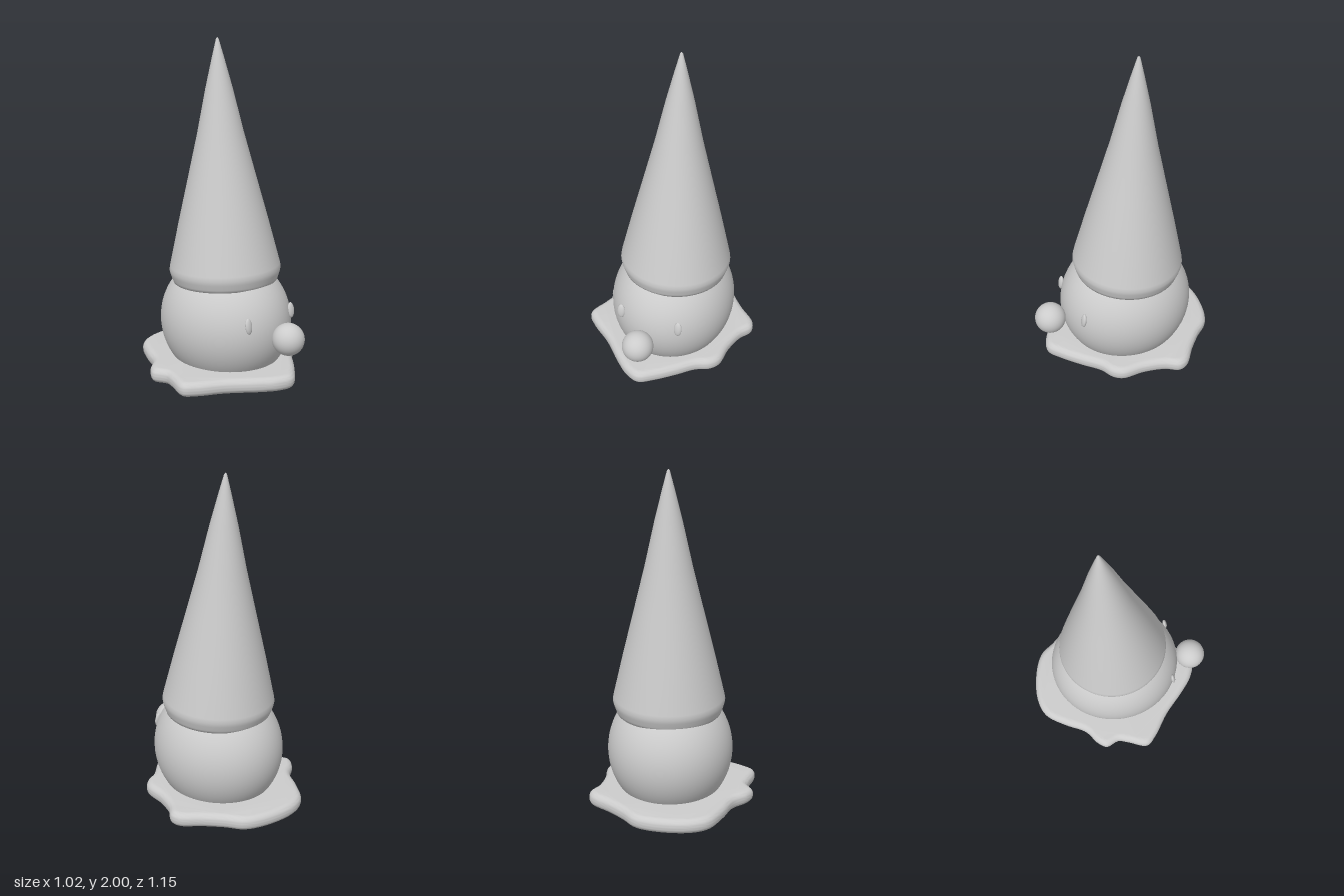
import * as THREE from 'three';
import { toCreasedNormals } from 'three/addons/utils/BufferGeometryUtils.js';

const material = new THREE.MeshStandardMaterial({ color: 0xcccccc });

function addPart(group, name, geometry, x = 0, y = 0, z = 0) {
  const mesh = new THREE.Mesh(geometry, material);
  mesh.name = name;
  mesh.position.set(x, y, z);
  group.add(mesh);
  return mesh;
}

// Wavy puddle outline as [x, z], running round the plan
const outline = [
  [-0.1, -0.57], [0.09, -0.56], [0.22, -0.51], [0.295, -0.42], [0.385, -0.33], [0.49, -0.24],
  [0.505, -0.18], [0.46, -0.1], [0.43, 0.03], [0.425, 0.165], [0.385, 0.225], [0.305, 0.27],
  [0.215, 0.36], [0.11, 0.455], [0.02, 0.515], [-0.07, 0.49], [-0.165, 0.42], [-0.31, 0.29],
  [-0.45, 0.195], [-0.51, 0.13], [-0.47, 0], [-0.455, -0.06], [-0.485, -0.14], [-0.45, -0.2],
  [-0.365, -0.27], [-0.3, -0.4], [-0.215, -0.525],
];

// Flat slab with a fully rounded edge
function puddleGeometry() {
  const curve = new THREE.CatmullRomCurve3(
    outline.map(([x, z]) => new THREE.Vector3(x, z, 0)), true);
  const points = curve.getPoints(140).slice(0, -1).map((p) => new THREE.Vector2(p.x, p.y));
  const geometry = new THREE.ExtrudeGeometry(new THREE.Shape(points), {
    depth: 0.01, bevelThickness: 0.04, bevelSize: 0.04, bevelOffset: -0.04, bevelSegments: 8,
  });
  geometry.rotateX(Math.PI / 2).translate(0, 0.05, 0);
  return toCreasedNormals(geometry, 0.7);
}

// Unit ball cut off low down, where it sinks into the puddle
function bodyGeometry() {
  const low = -0.62;
  const profile = [new THREE.Vector2(0, low)];
  const start = Math.asin(low);
  for (let i = 0; i <= 32; i++) {
    const a = start + (Math.PI / 2 - start) * (i / 32);
    profile.push(new THREE.Vector2(Math.max(0, Math.cos(a)), Math.sin(a)));
  }
  return toCreasedNormals(new THREE.LatheGeometry(profile, 64).scale(0.38, 0.4, 0.415), 0.7);
}

// Tall cone with slightly swelling sides and a turned-in brim
function hatGeometry() {
  const profile = [
    [0.27, -0.04], [0.316, -0.062], [0.322, -0.045], [0.332, -0.015], [0.3375, 0.01],
    [0.333, 0.035], [0.27, 0.3], [0.2, 0.58], [0.138, 0.83], [0.08, 1.09], [0.035, 1.27],
    [0.008, 1.372], [0, 1.38],
  ].map(([r, y]) => new THREE.Vector2(r, y));
  return new THREE.LatheGeometry(profile, 64);
}

export function createModel() {
  const model = new THREE.Group();
  model.name = 'pointedHatFigure';

  addPart(model, 'puddleBase', puddleGeometry());
  addPart(model, 'body', bodyGeometry(), 0.02, 0.31, -0.025);

  // The hat leans back a little
  const hat = addPart(model, 'hat', hatGeometry(), 0.027, 0.62, -0.035);
  hat.rotation.x = -0.045;

  addPart(model, 'nose', new THREE.SphereGeometry(0.095, 40, 28), 0.012, 0.305, 0.48);

  for (const [name, side] of [['leftEye', 1], ['rightEye', -1]]) {
    const eye = addPart(model, name, new THREE.SphereGeometry(1, 24, 16), 0.02 + side * 0.19, 0.395, 0.335);
    eye.scale.set(0.025, 0.047, 0.014);
    eye.rotation.x = -0.15;
  }
  return model;
}
